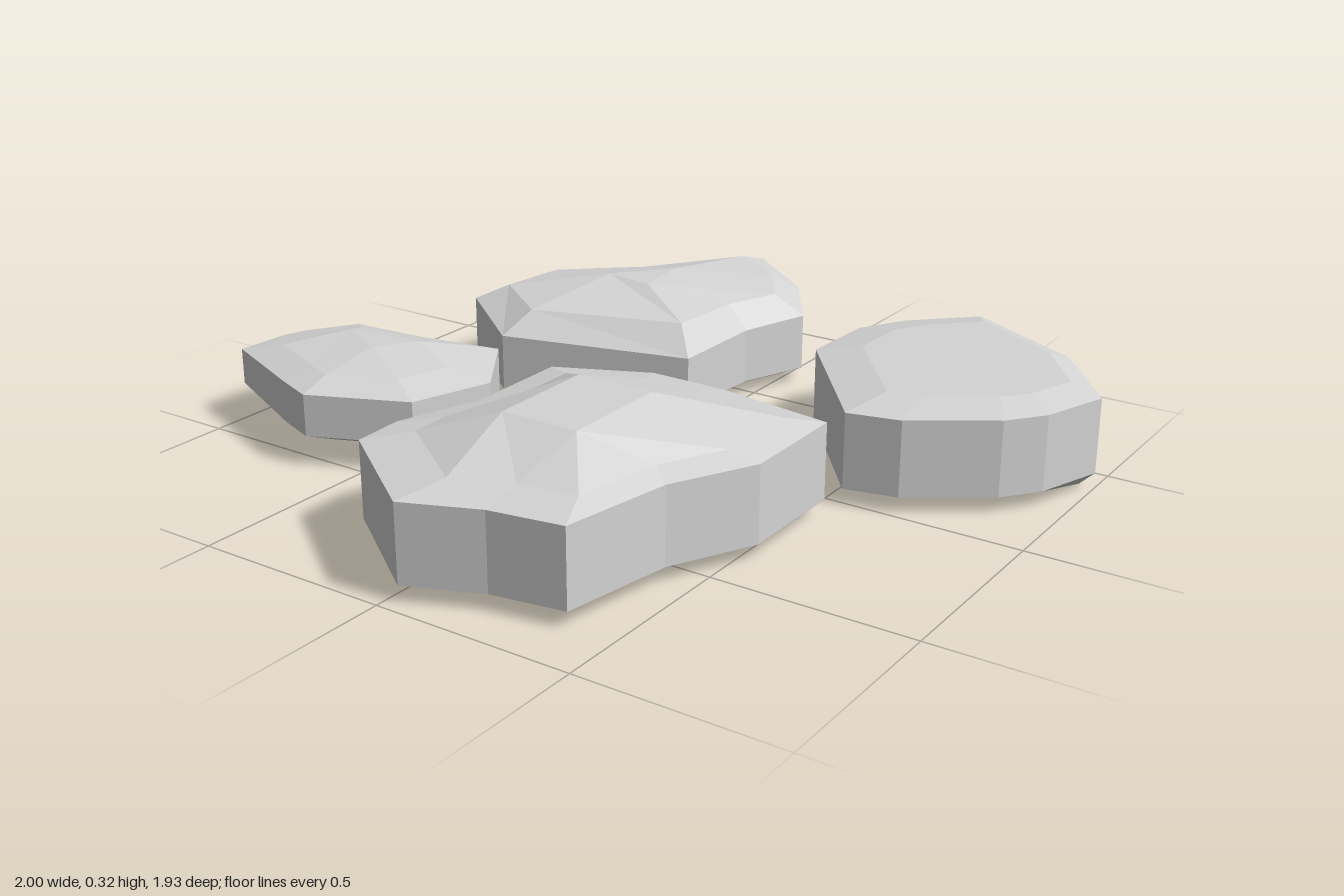
import * as THREE from 'three';

// Builds one low-poly stone from its outline [x, z], listed clockwise from the back as seen from above.
// An optional third value lifts the lower edge at that point. The shoulder is the outline
// shrunk towards the centre, and every shoulder point rises to the nearest crown point.
function stoneGeometry({
  outline, crown, crownY, centre: [cx, cz], shrink,
  baseY = 0.02, baseShrink = 0.87, lowY = 0.04, rimY = 0.23, shoulderY = 0.25, tilt = 0, dip,
}) {
  const ring = (scale, height) => outline.map(([x, z, lift = 0]) => new THREE.Vector3(
    cx + (x - cx) * scale, height(x, z, lift), cz + (z - cz) * scale,
  ));
  const base = ring(baseShrink, () => baseY);
  const low = ring(1, (x, z, lift) => lowY + lift);
  const rim = ring(1, (x, z) => rimY - tilt * (x - cx + z - cz));
  const shoulder = ring(shrink, () => shoulderY);
  const peaks = crown.map(([x, z]) => new THREE.Vector3(x, crownY, z));
  const top = shoulder.map((p) => peaks.reduce((a, b) => (p.distanceTo(b) < p.distanceTo(a) ? b : a)));
  if (dip !== undefined) base[dip].y = 0;

  const points = [];
  const triangle = new THREE.Triangle();
  const face = (a, b, c) => {
    if (triangle.set(a, b, c).getArea() > 1e-7) points.push(a, b, c);
  };
  const rings = [base, low, rim, shoulder, top];
  const baseCentre = new THREE.Vector3(cx, baseY, cz);
  for (let i = 0; i < outline.length; i++) {
    const j = (i + 1) % outline.length;
    for (let r = 0; r < rings.length - 1; r++) {
      const [a, b] = [rings[r], rings[r + 1]];
      face(a[i], b[i], b[j]);
      face(a[i], b[j], a[j]);
    }
    face(baseCentre, base[i], base[j]);
  }
  // Flat crown
  for (let i = 1; i < peaks.length - 1; i++) face(peaks[0], peaks[i + 1], peaks[i]);

  const geometry = new THREE.BufferGeometry().setFromPoints(points);
  geometry.computeVertexNormals();
  return geometry;
}

export function createModel() {
  const group = new THREE.Group();
  group.name = 'steppingStones';
  const stoneGrey = new THREE.MeshStandardMaterial({ color: 0xd4d4d4, flatShading: true });
  stoneGrey.name = 'stoneGrey';
  const addStone = (name, shape) => {
    const mesh = new THREE.Mesh(stoneGeometry(shape), stoneGrey);
    mesh.name = name;
    group.add(mesh);
  };

  // Long stone with a lower rim towards the front and its left
  addStone('backRightHandStone', {
    outline: [
      [-0.26, -0.97, 0.03], [-0.06, -0.83], [0.06, -0.65], [-0.01, -0.47], [-0.03, -0.22],
      [-0.51, -0.06], [-0.74, -0.23], [-0.71, -0.46], [-0.61, -0.55], [-0.48, -0.66],
    ],
    crown: [[-0.3, -0.56], [-0.28, -0.4], [-0.42, -0.42]],
    crownY: 0.284, centre: [-0.33, -0.5], shrink: 0.81, rimY: 0.2, shoulderY: 0.245, tilt: 0.044,
  });

  // Flat-topped stone whose underside dips at one corner
  addStone('backLeftHandStone', {
    outline: [
      [0.51, -0.805], [0.83, -0.63], [1, -0.41], [0.94, -0.24], [0.87, -0.15],
      [0.68, -0.02], [0.55, 0.01], [0.28, -0.33], [0.29, -0.54], [0.36, -0.66],
    ],
    crown: [[0.65, -0.4]],
    crownY: 0.251, centre: [0.69, -0.47], shrink: 0.73, dip: 2,
  });

  // Largest stone, with a rectangular crown
  addStone('frontLeftHandStone', {
    outline: [
      [0.04, 0.04], [0.24, 0.04], [0.545, 0.085], [0.545, 0.375], [0.44, 0.58], [0.39, 0.86],
      [0.21, 0.89], [0.03, 0.965], [-0.255, 0.76], [-0.26, 0.63], [-0.19, 0.42], [-0.19, 0.145],
    ],
    crown: [[0.04, 0.34], [0.24, 0.34], [0.24, 0.62], [0.04, 0.62]],
    crownY: 0.318, centre: [0.21, 0.42], shrink: 0.78,
  });

  // Small thin stone with a rounded underside
  addStone('frontRightHandStone', {
    outline: [
      [-0.455, 0.025], [-0.315, 0.23], [-0.385, 0.44], [-0.635, 0.55], [-0.74, 0.51],
      [-1, 0.4, 0.015], [-0.99, 0.26, 0.015], [-0.97, 0.2], [-0.89, 0.08], [-0.68, 0.065],
    ],
    crown: [[-0.78, 0.22], [-0.58, 0.2], [-0.64, 0.3]],
    crownY: 0.235, centre: [-0.65, 0.29], shrink: 0.67,
    baseY: 0.035, baseShrink: 0.6, lowY: 0.08, rimY: 0.188, shoulderY: 0.213,
  });
  return group;
}
